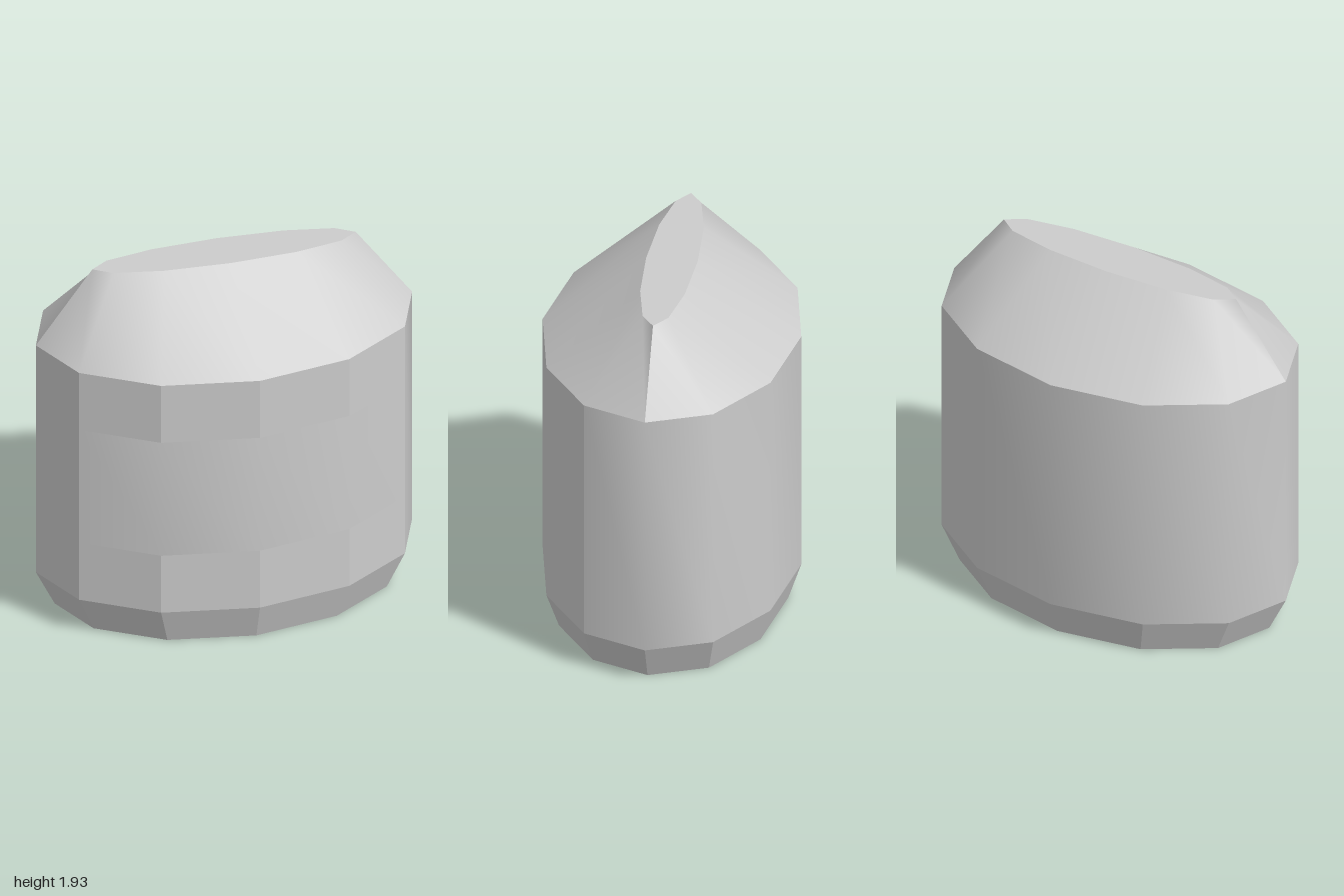
import * as THREE from 'three';

const SIDES = 12;

// Cross-sections: height and half-widths
const base = { y: 0, rx: 0.9, rz: 0.6 };
const wall = (y) => ({ y, rx: 1, rz: 0.667 });
const rim = { y: 1.935, rx: 0.7, rz: 0.133 };

const point = (s, i) => {
  const a = (i / SIDES) * Math.PI * 2;
  return [s.rx * Math.cos(a), s.y, s.rz * Math.sin(a)];
};

function build(positions, index) {
  const g = new THREE.BufferGeometry();
  g.setAttribute('position', new THREE.Float32BufferAttribute(positions, 3));
  g.setIndex(index);
  return g;
}

// Strip of side faces between two sections, from corner i0 to corner i1
function strip(low, high, i0, i1, smooth) {
  const positions = [], index = [];
  for (let i = i0; i <= i1; i++) {
    positions.push(...point(low, i), ...point(high, i));
    if (i < i1) {
      const k = (i - i0) * 2;
      index.push(k, k + 1, k + 3, k, k + 3, k + 2);
    }
  }
  let g = build(positions, index);
  if (!smooth) g = g.toNonIndexed();
  g.computeVertexNormals();
  return g;
}

// Flat polygon closing a section
function cap(section, up) {
  const positions = [0, section.y, 0], index = [];
  for (let i = 0; i < SIDES; i++) {
    positions.push(...point(section, i));
    const a = i + 1, b = ((i + 1) % SIDES) + 1;
    index.push(0, ...(up ? [b, a] : [a, b]));
  }
  const g = build(positions, index);
  g.computeVertexNormals();
  return g;
}

export function createModel() {
  const group = new THREE.Group();
  group.name = 'facetedContainer';
  const grey = new THREE.MeshStandardMaterial({ color: 0xcccccc });
  grey.name = 'lightGrey';

  const add = (name, geometry) => {
    const mesh = new THREE.Mesh(geometry, grey);
    mesh.name = name;
    group.add(mesh);
  };

  // Base and bevelled foot
  add('bottom', cap(base, false));
  add('foot', strip(base, wall(0.2), 0, SIDES, false));

  // Rounded back and sides, faceted front with a smooth middle panel
  add('backWall', strip(wall(0.2), wall(1.535), 5, 13, true));
  add('lowerFront', strip(wall(0.2), wall(0.535), 1, 5, false));
  add('frontPanel', strip(wall(0.535), wall(1.2), 1, 5, true));
  add('upperFront', strip(wall(1.2), wall(1.535), 1, 5, false));

  // Sloping shoulders, meeting in a hard seam at both ends, and the narrow top
  add('frontShoulder', strip(wall(1.535), rim, 0, 6, true));
  add('backShoulder', strip(wall(1.535), rim, 6, 12, true));
  add('top', cap(rim, true));

  return group;
}
